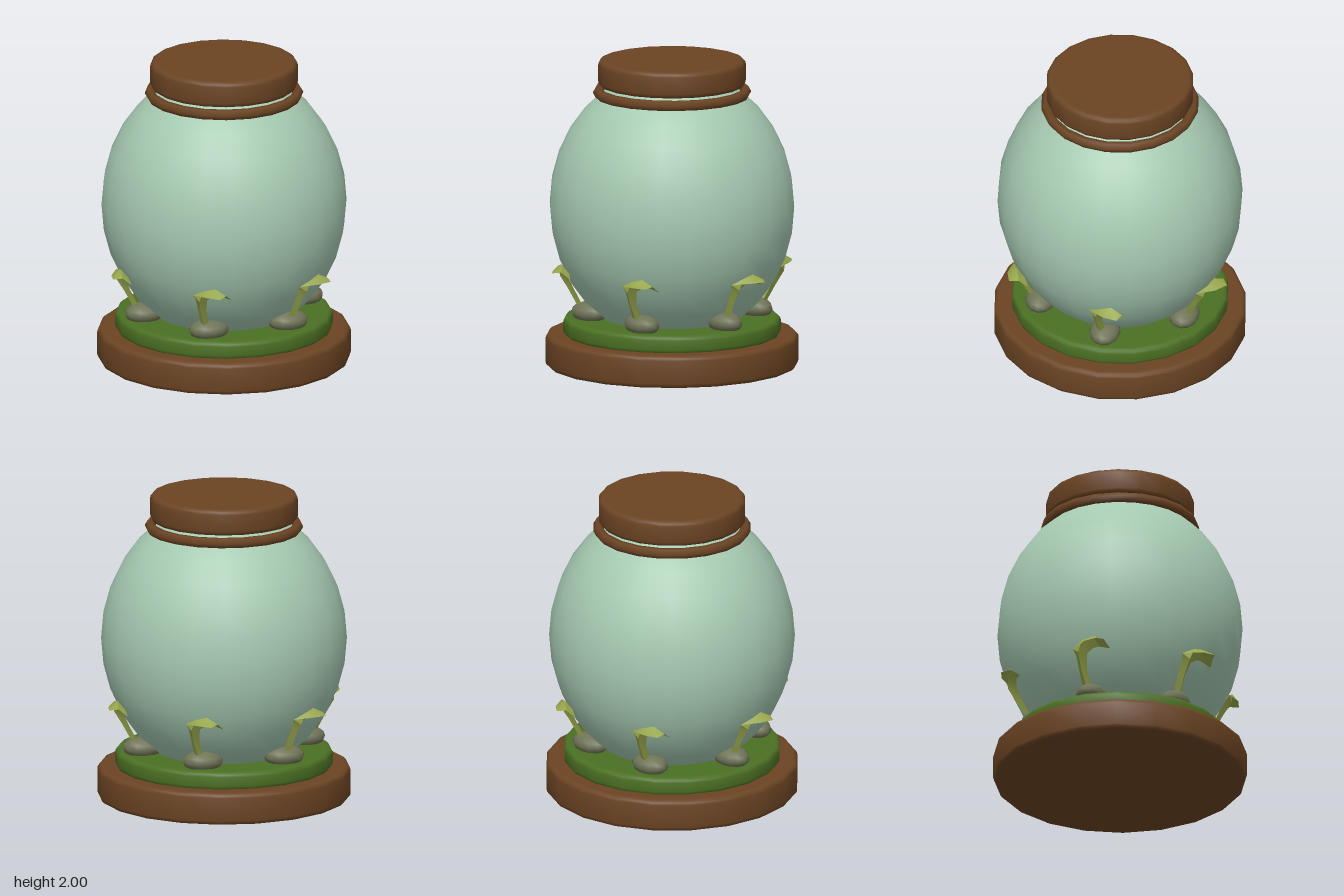
import * as THREE from 'three';
import { toCreasedNormals } from 'three/addons/utils/BufferGeometryUtils.js';

const flat = (name, color, side = THREE.FrontSide) => {
  const m = new THREE.MeshStandardMaterial({ color, side });
  m.name = name;
  return m;
};

export function createModel() {
  const wood = flat('brown wood', 0x6b4423);
  const moss = flat('moss green', 0x4b7023);
  const glass = flat('pale green glass', 0xa5c9b1);
  const stone = flat('olive grey stone', 0x6f7356);
  const leaf = flat('leaf green', 0x97a64c, THREE.DoubleSide);

  const model = new THREE.Group();
  model.name = 'terrariumJar';
  const add = (name, geometry, material, parent = model) => {
    const mesh = new THREE.Mesh(geometry, material);
    mesh.name = name;
    parent.add(mesh);
    return mesh;
  };

  // Disc with rounded rims, 20 sides
  const disc = (radius, y0, y1, bevel) => {
    const pts = [new THREE.Vector2(0, y0), new THREE.Vector2(radius - bevel * 1.5, y0)];
    for (const [cy, start] of [[y0 + bevel, -Math.PI / 2], [y1 - bevel, 0]]) {
      for (let i = 0; i <= 3; i++) {
        const a = start + (i * Math.PI) / 6;
        pts.push(new THREE.Vector2(radius - bevel + bevel * Math.cos(a), cy + bevel * Math.sin(a)));
      }
    }
    pts.push(new THREE.Vector2(radius - bevel * 1.5, y1), new THREE.Vector2(0, y1));
    return toCreasedNormals(new THREE.LatheGeometry(pts, 20), 0.7);
  };

  add('base', disc(0.815, 0, 0.21, 0.03), wood);
  add('mossBed', disc(0.7, 0.2, 0.32, 0.03), moss);
  add('lid', disc(0.475, 1.83, 2, 0.03), wood);

  // Egg-shaped glass body
  const jar = add('glassBody', new THREE.SphereGeometry(1, 24, 16), glass);
  jar.scale.set(0.79, 0.89, 0.79);
  jar.position.y = 1.05;

  // Ring around the neck
  const ring = add('neckRing', new THREE.TorusGeometry(0.475, 0.035, 6, 20), wood);
  ring.rotation.x = Math.PI / 2;
  ring.position.y = 1.787;

  // Sprout blade: a folded ribbon through [outward, up, sideways] sections
  const sections = [
    [[0.57, 0.38, -0.045], [0.6, 0.38, -0.015], [0.57, 0.38, 0.01]],
    [[0.64, 0.52, -0.055], [0.675, 0.52, -0.03], [0.64, 0.52, 0]],
    [[0.68, 0.6, -0.06], [0.725, 0.6, -0.03], [0.68, 0.6, 0.015]],
    [[0.7, 0.635, -0.075], [0.735, 0.675, 0], [0.69, 0.63, 0.06]],
    [[0.78, 0.645, 0.03], [0.73, 0.693, 0.075], [0.685, 0.635, 0.1]],
    [[0.8, 0.645, 0.12], [0.745, 0.655, 0.15], [0.69, 0.61, 0.175]],
  ];
  const positions = [];
  const index = [];
  sections.forEach((section, i) => {
    for (const [r, y, t] of section) positions.push(r, y, -t);
    if (i === 0) return;
    for (let j = 0; j < 2; j++) {
      const a = (i - 1) * 3 + j;
      index.push(a, a + 1, a + 3, a + 1, a + 4, a + 3);
    }
  });
  let blade = new THREE.BufferGeometry();
  blade.setAttribute('position', new THREE.Float32BufferAttribute(positions, 3));
  blade.setIndex(index);
  // Turn the corner order so that the blade's front faces outward
  blade.setIndex(index.map((_, k) => index[k - (k % 3) + (2 - (k % 3))]));
  blade = toCreasedNormals(blade, 0.6);

  // Six pebbles around the jar, each with a sprout
  const pebble = new THREE.SphereGeometry(1, 12, 8);
  pebble.scale(0.134, 0.07, 0.1);
  for (let k = 0; k < 6; k++) {
    const a = (k * Math.PI) / 3;
    add('pebble', pebble, stone).position.set(0.54 * Math.cos(a), 0.36, 0.54 * Math.sin(a));
    add('sprout', blade, leaf).rotation.y = -a;
  }
  return model;
}
